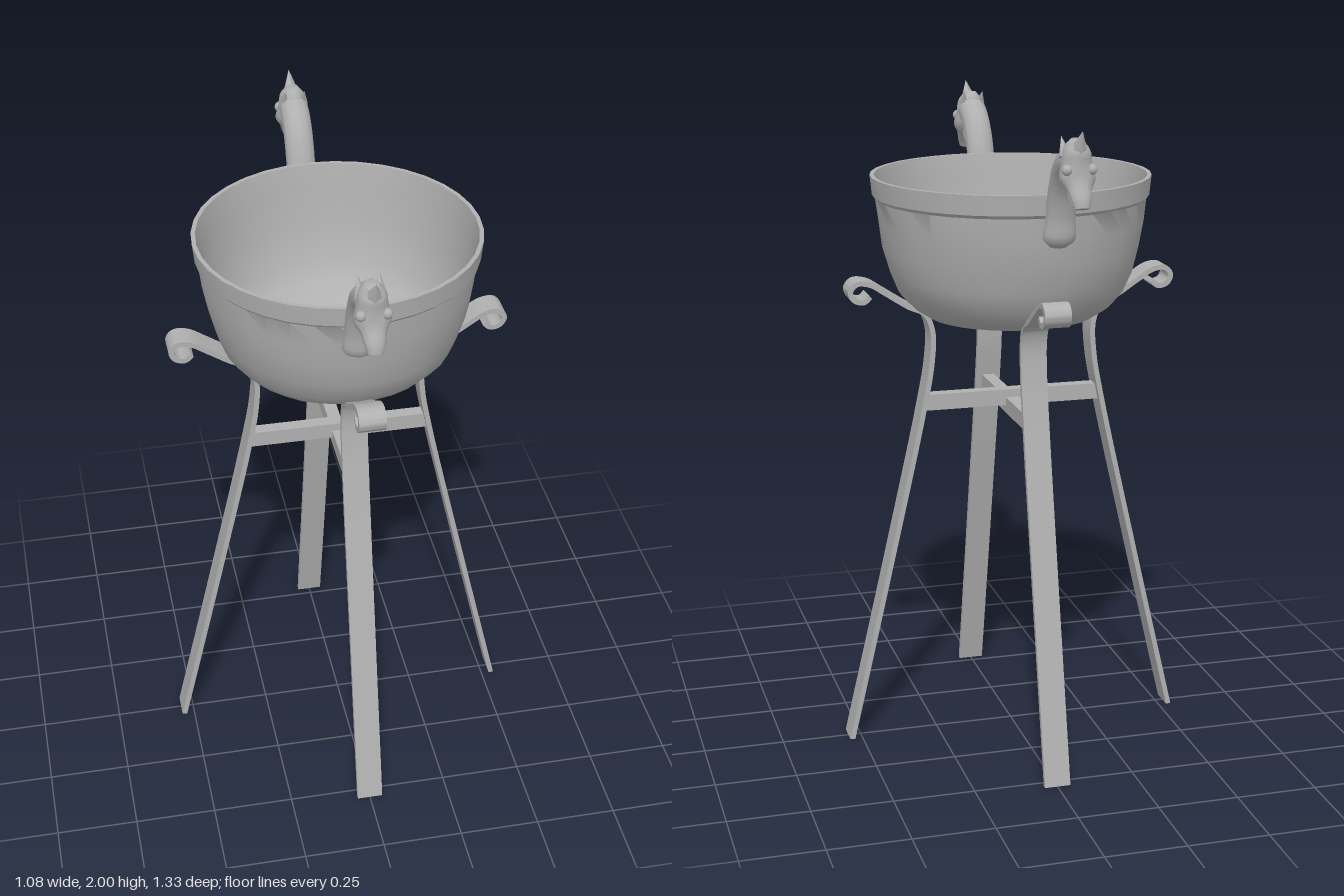
import * as THREE from 'three';
import { toCreasedNormals, mergeVertices } from 'three/addons/utils/BufferGeometryUtils.js';

const metal = new THREE.MeshStandardMaterial({ color: 0xb0b0b0 });
metal.name = 'grey metal';

function mesh(name, geometry) {
  const m = new THREE.Mesh(geometry, metal);
  m.name = name;
  return m;
}

// Oval tube through sections [z, y, half depth, half width], lying in the zy plane
function loft(sections, steps, sides = 12) {
  const path = new THREE.CatmullRomCurve3(sections.map(s => new THREE.Vector3(0, s[1], s[0])));
  const size = new THREE.CatmullRomCurve3(sections.map(s => new THREE.Vector3(s[2], s[3], 0)));
  const pos = [], index = [];
  for (let i = 0; i <= steps; i++) {
    const c = path.getPoint(i / steps), t = path.getTangent(i / steps), r = size.getPoint(i / steps);
    for (let j = 0; j < sides; j++) {
      const a = (j / sides) * Math.PI * 2, d = Math.sin(a) * r.x;
      pos.push(Math.cos(a) * r.y, c.y + t.z * d, c.z - t.y * d);
      if (i < steps) {
        const k = (j + 1) % sides, p = i * sides, q = p + sides;
        index.push(p + j, p + k, q + k, p + j, q + k, q + j);
      }
    }
  }
  // end caps
  [0, 1].forEach(end => {
    const c = path.getPoint(end), n = pos.length / 3, base = end * steps * sides;
    pos.push(0, c.y, c.z);
    for (let j = 0; j < sides; j++) {
      const k = (j + 1) % sides;
      if (end) index.push(n, base + j, base + k);
      else index.push(n, base + k, base + j);
    }
  });
  const g = new THREE.BufferGeometry();
  g.setAttribute('position', new THREE.Float32BufferAttribute(pos, 3));
  g.setIndex(index);
  return toCreasedNormals(g, 0.9);
}

// Hammered bowl with a smooth rim band and a hollow inside
function bowl() {
  const profile = [
    [0, 1.343], [0.2, 1.345], [0.26, 1.358], [0.31, 1.39], [0.345, 1.43], [0.37, 1.49],
    [0.392, 1.57], [0.405, 1.65], [0.413, 1.72], [0.422, 1.73], [0.428, 1.79], [0.415, 1.79],
    [0.402, 1.72], [0.388, 1.6], [0.355, 1.48], [0.32, 1.42], [0.26, 1.38], [0.18, 1.365], [0, 1.36],
  ].map(p => new THREE.Vector2(...p));
  let g = new THREE.LatheGeometry(profile, 36);
  const p = g.attributes.position;
  for (let i = 0; i < p.count; i++) {
    const row = i % profile.length;
    if (row < 2 || row > 7) continue;
    const a = Math.atan2(p.getZ(i), p.getX(i));
    const s = 1 + 0.008 * Math.sin(5 * a + row * 1.3) * Math.sin(8 * a - row * 0.9);
    p.setX(i, p.getX(i) * s);
    p.setZ(i, p.getZ(i) * s);
  }
  g.deleteAttribute('uv');
  g.deleteAttribute('normal');
  g = mergeVertices(g, 1e-4);
  return mesh('bowl', toCreasedNormals(g, 0.6));
}

// Flat strip leg ending in a scroll
function legGeometry() {
  const curve = new THREE.CatmullRomCurve3([
    [0.533, 0], [0.4, 0.57], [0.285, 1.08], [0.26, 1.22], [0.257, 1.32], [0.28, 1.375], [0.33, 1.4],
    [0.4, 1.445], [0.45, 1.475], [0.49, 1.478], [0.509, 1.455], [0.498, 1.43], [0.468, 1.422], [0.448, 1.438],
  ].map(p => new THREE.Vector3(p[0], p[1], 0)));
  const n = 70, half = 0.008, left = [], right = [];
  for (let i = 0; i <= n; i++) {
    const c = curve.getPoint(i / n), t = curve.getTangent(i / n);
    left.push(new THREE.Vector2(c.x - t.y * half, Math.max(0, c.y + t.x * half)));
    right.push(new THREE.Vector2(c.x + t.y * half, Math.max(0, c.y - t.x * half)));
  }
  const shape = new THREE.Shape(left.concat(right.reverse()));
  const g = new THREE.ExtrudeGeometry(shape, { depth: 0.08, bevelEnabled: false });
  g.translate(0, 0, -0.04);
  return toCreasedNormals(g, 0.6);
}

function cone(name, from, to, radius) {
  const a = new THREE.Vector3(...from), b = new THREE.Vector3(...to);
  const m = mesh(name, new THREE.ConeGeometry(radius, a.distanceTo(b), 6));
  m.position.copy(a).lerp(b, 0.5);
  m.quaternion.setFromUnitVectors(new THREE.Vector3(0, 1, 0), b.sub(a).normalize());
  return m;
}

// Beast-head handle reaching out along +z
function handle() {
  const g = new THREE.Group();
  g.add(mesh('neck', loft([
    [0.425, 1.64, 0.012, 0.025], [0.435, 1.67, 0.033, 0.05], [0.445, 1.73, 0.03, 0.045],
    [0.468, 1.81, 0.033, 0.045], [0.51, 1.875, 0.04, 0.045], [0.57, 1.91, 0.045, 0.045],
    [0.605, 1.91, 0.03, 0.035],
  ], 20)));
  g.add(mesh('head', loft([
    [0.597, 1.968, 0.028, 0.018], [0.593, 1.94, 0.047, 0.04], [0.595, 1.9, 0.042, 0.046],
    [0.604, 1.865, 0.036, 0.053], [0.622, 1.835, 0.026, 0.036], [0.64, 1.81, 0.02, 0.03],
    [0.65, 1.785, 0.014, 0.022],
  ], 16)));
  g.add(mesh('lowerJaw', loft([
    [0.585, 1.86, 0.022, 0.03], [0.587, 1.82, 0.014, 0.024], [0.6, 1.785, 0.006, 0.012],
  ], 6, 8)));
  g.add(cone('crest', [0, 1.93, 0.61], [0, 2.0, 0.65], 0.03));
  [-1, 1].forEach(s => {
    g.add(cone('ear', [s * 0.028, 1.92, 0.58], [s * 0.03, 1.975, 0.545], 0.02));
    const brow = mesh('brow', new THREE.SphereGeometry(0.016, 8, 6));
    brow.position.set(s * 0.036, 1.89, 0.622);
    g.add(brow);
  });
  return g;
}

export function createModel() {
  const model = new THREE.Group();
  model.name = 'bowlOnStand';
  model.add(bowl());

  // four splayed legs
  const leg = legGeometry();
  for (let i = 0; i < 4; i++) {
    const m = mesh('leg', leg);
    m.rotation.y = (i * Math.PI) / 2;
    model.add(m);
  }

  // crossed braces
  const braceX = mesh('braceSideways', new THREE.BoxGeometry(0.56, 0.05, 0.04));
  braceX.position.y = 1.09;
  const braceZ = mesh('braceLengthways', new THREE.BoxGeometry(0.04, 0.05, 0.57));
  braceZ.position.y = 1.065;
  model.add(braceX, braceZ);

  // front and back handles, slightly off the centre line
  [['frontHandle', 0], ['backHandle', Math.PI]].forEach(([name, turn]) => {
    const h = handle();
    h.name = name;
    h.rotation.y = turn;
    h.position.x = -0.025;
    model.add(h);
  });
  return model;
}
